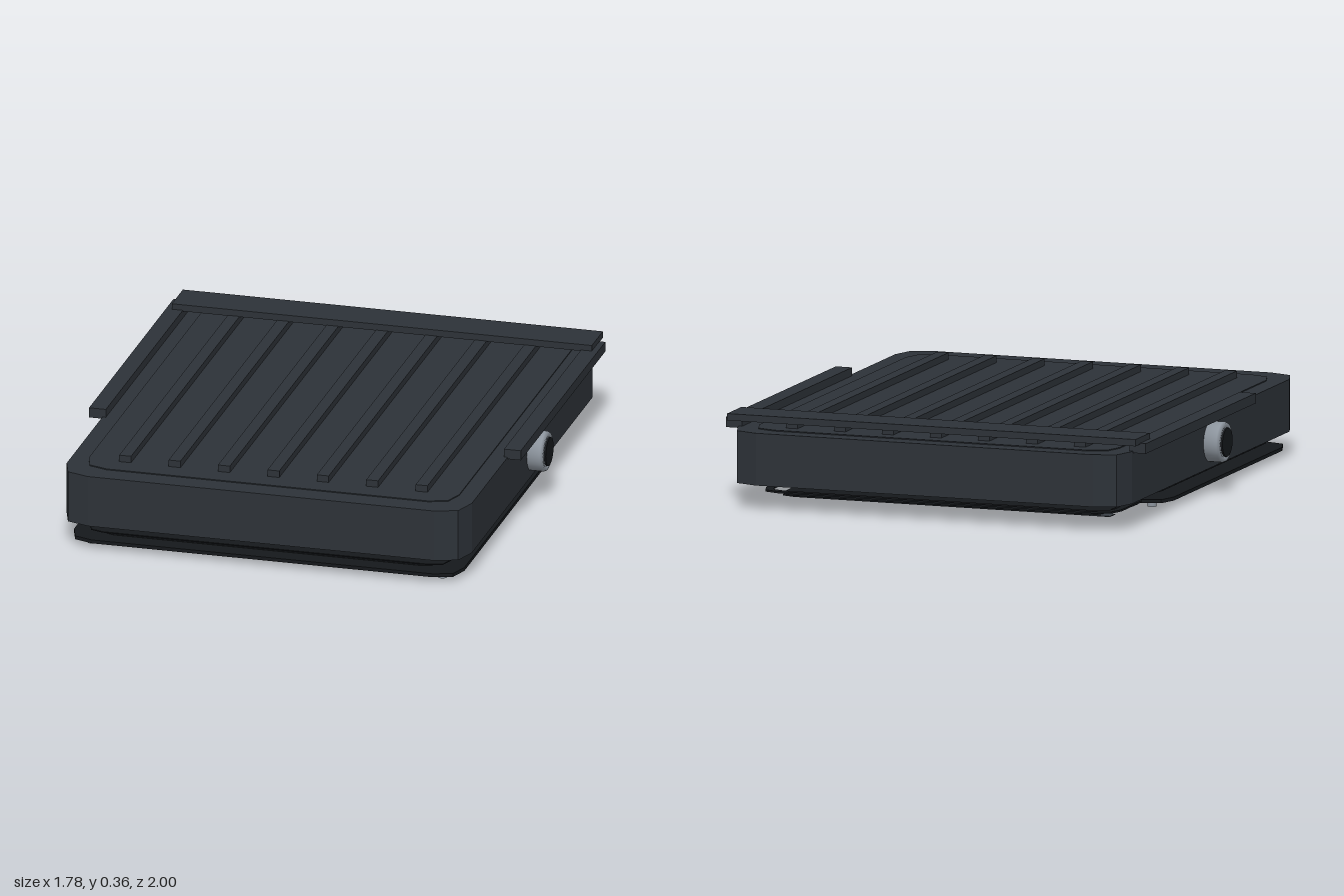
import * as THREE from 'three';

const mat = (color) => new THREE.MeshStandardMaterial({ color });
const shell = mat(0x2d3238);
const black = mat(0x15181b);
const steel = mat(0x8d959e);
const glass = mat(0x8a8e91);
const layer = mat(0x3a4046);

// Plan outline with corners cut in two facets; shape y is -z
function outline(x0, x1, z0, z1, c, Path = THREE.Shape) {
  const s = 0.25 * c;
  const p = [];
  const corner = (x, z, sx, sz, flip) => {
    const pts = [[x - sx * c, z], [x - sx * s, z - sz * s], [x, z - sz * c]];
    if (flip) pts.reverse();
    pts.forEach(([a, b]) => p.push(new THREE.Vector2(a, -b)));
  };
  corner(x0, z1, -1, 1, true);
  corner(x1, z1, 1, 1, false);
  corner(x1, z0, 1, -1, true);
  corner(x0, z0, -1, -1, false);
  return new Path(p);
}

export function createModel() {
  const model = new THREE.Group();

  const add = (name, geometry, material, x = 0, y = 0, z = 0) => {
    const mesh = new THREE.Mesh(geometry, material);
    mesh.name = name;
    mesh.position.set(x, y, z);
    model.add(mesh);
    return mesh;
  };
  // Box given by its limits
  const box = (name, x0, x1, y0, y1, z0, z1, material = shell) =>
    add(name, new THREE.BoxGeometry(x1 - x0, y1 - y0, z1 - z0), material,
      (x0 + x1) / 2, (y0 + y1) / 2, (z0 + z1) / 2);
  // Horizontal plate with cut corners, optionally a frame with an opening
  const plate = (name, x0, x1, y0, y1, z0, z1, c, material, rim = 0) => {
    const shape = outline(x0, x1, z0, z1, c);
    if (rim) shape.holes.push(outline(x0 + rim, x1 - rim, z0 + rim, z1 - rim, c * 0.8, THREE.Path));
    const g = new THREE.ExtrudeGeometry(shape, { depth: y1 - y0, bevelEnabled: false });
    g.rotateX(-Math.PI / 2);
    return add(name, g, material, 0, y0, 0);
  };

  // Main housing with shallow panels above and below
  plate('housing', -0.82, 0.82, 0.1, 0.307, -1, 1, 0.12, shell);
  plate('topPanel', -0.75, 0.75, 0.307, 0.311, -0.93, 0.91, 0.1, shell);
  plate('bottomPanel', -0.76, 0.76, 0.097, 0.1, -0.94, 0.94, 0.1, black);

  // Seven ribs along the top and the crossbar over their rear ends
  for (let i = -3; i <= 3; i++) {
    box('rib', i * 0.2 - 0.024, i * 0.2 + 0.024, 0.305, 0.338, -0.87, 0.82);
  }
  box('rearCrossbar', -0.85, 0.85, 0.336, 0.363, -0.92, -0.76);

  // Side rails and round side knobs
  const ringProfile = [[0.055, 0], [0.08, 0], [0.08, 0.055], [0.075, 0.065], [0.055, 0.065], [0.055, 0]]
    .map(([r, h]) => new THREE.Vector2(r, h));
  for (const side of [-1, 1]) {
    box('sideRail', side * 0.84 - 0.034, side * 0.84 + 0.034, 0.3, 0.34, -0.87, 0.36);
    const ring = add('knobRing', new THREE.LatheGeometry(ringProfile, 32), steel, side * 0.818, 0.205, 0);
    ring.material.side = THREE.DoubleSide;
    ring.rotation.z = -side * Math.PI / 2;
    const cap = add('knobCap', new THREE.CylinderGeometry(0.057, 0.057, 0.075, 32), black, side * 0.853, 0.205, 0);
    cap.rotation.z = Math.PI / 2;
  }

  // Spaced layers of the display, from the housing downwards
  plate('backingSheet', -0.7, 0.7, 0.09, 0.094, -0.35, 0.9, 0.06, layer);
  for (let i = 0; i < 4; i++) {
    const x = -0.7 + i * 0.352;
    box('layerTile', x, x + 0.344, 0.078, 0.082, -0.34, 0.88, layer);
  }
  for (let i = 0; i < 12; i++) {
    for (const z of [0.63, 0.18, -0.09]) {
      const x = (i - 5.5) * 0.115;
      box('smallChip', x - 0.018, x + 0.018, 0.065, 0.068, z - 0.008, z + 0.008, layer);
    }
  }
  plate('middleSheet', -0.73, 0.73, 0.051, 0.055, -0.38, 0.93, 0.07, black);
  plate('innerSheet', -0.68, 0.68, 0.038, 0.042, -0.36, 0.91, 0.06, black);
  plate('displayBezel', -0.79, 0.79, 0.022, 0.036, -0.43, 0.98, 0.1, black);
  plate('displayGlass', -0.72, 0.72, 0.018, 0.023, -0.375, 0.925, 0.05, glass);

  // Screws at the corners of the display
  for (const x of [-0.71, 0.71]) {
    for (const z of [-0.36, 0.91]) {
      add('screw', new THREE.CylinderGeometry(0.018, 0.018, 0.022, 16), steel, x, 0.011, z);
    }
  }

  // Rear lower panel: frame, inset plate and two small tabs
  plate('rearFrame', -0.74, 0.74, 0.049, 0.056, -0.86, -0.48, 0.08, black, 0.03);
  plate('rearPlate', -0.67, 0.67, 0.035, 0.041, -0.84, -0.5, 0.07, black);
  for (const z of [-0.8, -0.54]) {
    box('rearTab', -0.71, -0.57, 0.033, 0.036, z - 0.03, z + 0.03, layer);
  }

  return model;
}
